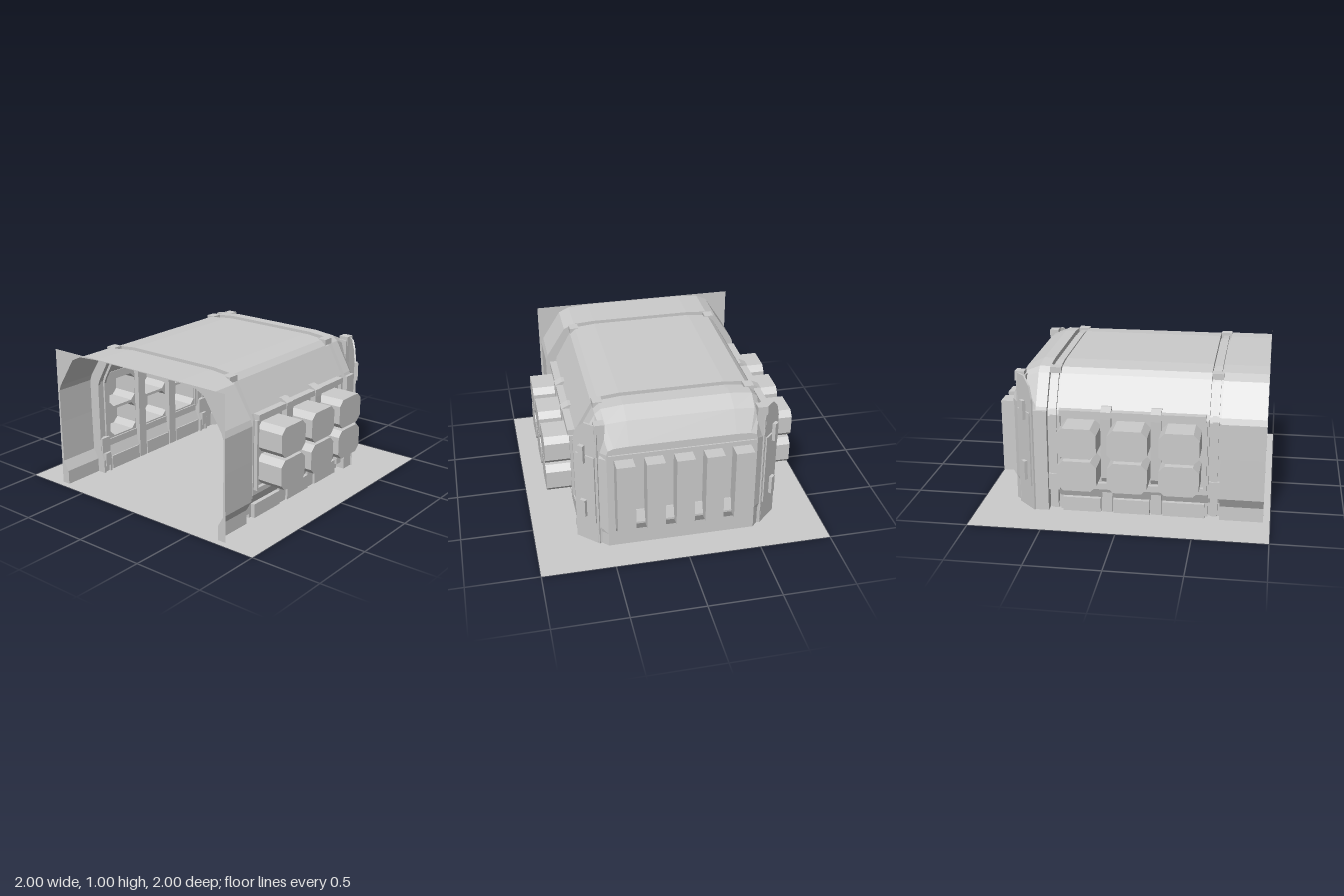
import * as THREE from 'three';

const material = new THREE.MeshStandardMaterial({ color: 0xcccccc, flatShading: true, side: THREE.DoubleSide });

function add(parent, name, geometry, x = 0, y = 0, z = 0) {
  const mesh = new THREE.Mesh(geometry, material);
  mesh.name = name;
  mesh.position.set(x, y, z);
  parent.add(mesh);
  return mesh;
}

// Box given by its lower and upper limits
function block(parent, name, [x0, x1], [y0, y1], [z0, z1]) {
  return add(parent, name, new THREE.BoxGeometry(x1 - x0, y1 - y0, z1 - z0),
    (x0 + x1) / 2, (y0 + y1) / 2, (z0 + z1) / 2);
}

// Skin through a row of sections with equal point counts
function loft(sections, closed = false) {
  const n = sections[0].length;
  const index = [];
  for (let i = 0; i < sections.length - 1; i++) {
    for (let j = 0; j < (closed ? n : n - 1); j++) {
      const a = i * n + j, b = i * n + (j + 1) % n;
      index.push(a, b, a + n, b, b + n, a + n);
    }
  }
  const g = new THREE.BufferGeometry();
  g.setAttribute('position', new THREE.Float32BufferAttribute(sections.flat(2), 3));
  g.setIndex(index);
  const flat = g.toNonIndexed();
  flat.computeVertexNormals();
  return flat;
}

// Half profiles as [z, y], from the roof down to the ground
const mouth = [[0.36, 0.995], [0.51, 0.985], [0.585, 0.95], [0.72, 0.74], [0.735, 0.70], [0.735, 0.46], [0.73, 0.17], [0.69, 0.1], [0.69, 0]];
const hall = [[0.36, 0.995], [0.51, 0.98], [0.55, 0.945], [0.665, 0.74], [0.68, 0.70], [0.68, 0.46], [0.68, 0.17], [0.65, 0.1], [0.65, 0]];
const shoulder = [[0.36, 0.94], [0.50, 0.93], [0.53, 0.90], [0.58, 0.74], [0.60, 0.70], [0.60, 0.46], [0.60, 0.17], [0.58, 0.1], [0.58, 0]];
const endWall = [[0.36, 0.79], [0.46, 0.785], [0.50, 0.77], [0.51, 0.74], [0.51, 0.70], [0.51, 0.46], [0.51, 0.17], [0.51, 0.1], [0.51, 0]];

const mirrored = (half) => [...half].reverse().concat(half.map(([z, y]) => [-z, y]));
const arch = (half, x, s = 1) => mirrored(half).map(([z, y]) => [x, y * s, z * s]);

// Shape in the (z, y) plane, turned to face along x
function crossShape(points) {
  const g = new THREE.ShapeGeometry(new THREE.Shape(points.map(([z, y]) => new THREE.Vector2(-z, y))));
  return g.rotateY(Math.PI / 2);
}

// Rectangle with cut corners
function octagon(cx, cy, w, h, c) {
  const a = w / 2, b = h / 2;
  return [[-a + c, -b], [a - c, -b], [a, -b + c], [a, b - c], [a - c, b], [-a + c, b], [-a, b - c], [-a, -b + c]]
    .map(([x, y]) => [cx + x, cy + y]);
}
const toShape = (pts) => new THREE.Shape(pts.map(([x, y]) => new THREE.Vector2(x, y)));

function buildSide() {
  const side = new THREE.Group();
  side.name = 'side';

  // Wall panel with pockets that open into the projecting boxes
  const wall = toShape([[-0.58, 0.17], [0.43, 0.17], [0.43, 0.70], [-0.58, 0.70]]);
  for (const cx of [-0.4, -0.06, 0.275]) {
    for (const cy of [0.34, 0.568]) {
      const ring = octagon(cx, cy, 0.265, 0.208, 0.04);
      wall.holes.push(new THREE.Path(ring.map(([x, y]) => new THREE.Vector2(x, y))));
      add(side, 'storageBox', loft([0.68, 0.875].map((z) => ring.map(([x, y]) => [x, y, z])), true));
      add(side, 'storageBoxFace', new THREE.ShapeGeometry(toShape(ring)), 0, 0, 0.875);
    }
  }
  add(side, 'wallPanel', new THREE.ShapeGeometry(wall), 0, 0, 0.68);
  add(side, 'wallFoot', loft([-0.58, 0.43].map((x) => hall.slice(6).map(([z, y]) => [x, y, z]))));

  // Frame around the boxes
  block(side, 'upperRail', [-0.56, 0.42], [0.70, 0.74], [0.66, 0.715]);
  block(side, 'lowerRail', [-0.56, 0.42], [0.205, 0.225], [0.67, 0.705]);
  for (const x of [-0.57, 0.415]) block(side, 'framePost', [x, x + 0.02], [0.21, 0.70], [0.67, 0.705]);

  // Straps between the boxes, and blocks along the foot
  for (const x of [-0.265, 0.07]) {
    const strap = toShape([[0.64, 0], [0.67, 0], [0.67, 0.215], [0.70, 0.265], [0.72, 0.69], [0.72, 0.74], [0.67, 0.765], [0.64, 0.765]]);
    const g = new THREE.ExtrudeGeometry(strap, { depth: 0.07, bevelEnabled: false });
    add(side, 'strap', g.rotateY(-Math.PI / 2), x + 0.07);
  }
  for (const [a, b] of [[-0.56, -0.275], [-0.185, 0.06], [0.15, 0.41]]) {
    block(side, 'footBlock', [a, b], [0, 0.1], [0.64, 0.68]);
  }

  // Fittings on the two hoops
  for (const x of [-0.62, 0.47]) {
    block(side, 'hoopFoot', [x - 0.025, x + 0.025], [0.05, 0.15], [0.62, 0.675]);
    block(side, 'hoopShoe', [x - 0.038, x + 0.038], [0.15, 0.265], [0.64, 0.68]);
    block(side, 'hoopClip', [x - 0.038, x + 0.038], [0.945, 0.985], [0.485, 0.55]);
  }

  // Slanted shield over the corner, with its raised plate and clips
  const corner = new THREE.Group();
  corner.name = 'cornerShield';
  corner.position.set(0.60, 0, 0.695);
  corner.rotation.y = 0.8;
  const shield = toShape([[0, 0], [0.19, 0], [0.19, 0.945], [0.09, 0.945], [0.03, 0.89], [0, 0.80]]);
  add(corner, 'shield', new THREE.ExtrudeGeometry(shield, { depth: 0.012, bevelEnabled: false }));
  block(corner, 'shieldPlate', [0.02, 0.17], [0.17, 0.70], [0.01, 0.022]);
  for (const y of [0.21, 0.645]) block(corner, 'shieldClip', [0.06, 0.1], [y, y + 0.135], [0.02, 0.045]);
  side.add(corner);
  block(side, 'cornerFlange', [0.51, 0.60], [0, 0.72], [0.65, 0.695]);
  block(side, 'cornerPost', [0.67, 0.735], [0, 0.93], [0.515, 0.575]);
  block(side, 'cornerPostClip', [0.68, 0.745], [0.89, 0.955], [0.51, 0.58]);
  return side;
}

export function createModel() {
  const model = new THREE.Group();
  model.name = 'vaultedModule';

  add(model, 'groundPlate', new THREE.PlaneGeometry(2, 2).rotateX(-Math.PI / 2));

  // Open end with its flat surround
  add(model, 'entrance', loft([arch(mouth, -0.955), arch(mouth, -0.66), arch(hall, -0.66)]));
  const surround = [[0.75, 0], [0.75, 1], [-0.75, 1], [-0.75, 0], ...mirrored(mouth).reverse()];
  add(model, 'entranceSurround', crossShape(surround), -0.955);

  // Vaulted roof of the middle part
  const vault = hall.slice(0, 5);
  add(model, 'roof', loft([arch(vault, -0.58), arch(vault, 0.43)]));

  // Recessed hoops with a raised centre band
  for (const x of [-0.62, 0.47]) {
    const steps = [[-0.04, 1], [-0.04, 0.965], [-0.022, 0.965], [-0.022, 0.985], [0.022, 0.985], [0.022, 0.965], [0.04, 0.965], [0.04, 1]];
    add(model, 'hoop', loft(steps.map(([dx, s]) => arch(hall, x + dx, s))));
  }

  // Tapered closed end
  add(model, 'endCap', loft([arch(hall, 0.51), arch(hall, 0.585), arch(shoulder, 0.70), arch(endWall, 0.775)]));
  add(model, 'endWall', crossShape(mirrored(endWall)), 0.775);

  // Sloping sill and five upright ribs
  const sill = toShape([[0.765, 0.1], [0.81, 0.185], [0.81, 0.2], [0.785, 0.28], [0.765, 0.28]]);
  add(model, 'endSill', new THREE.ExtrudeGeometry(sill, { depth: 0.92, bevelEnabled: false }), 0, 0, -0.46);
  block(model, 'endLintel', [0.765, 0.785], [0.70, 0.735], [-0.5, 0.5]);
  for (let i = -2; i <= 2; i++) {
    block(model, 'endRib', [0.77, 0.88], [0.185, 0.70], [i * 0.2 - 0.0625, i * 0.2 + 0.0625]);
  }

  // Matching sides
  const front = buildSide();
  const back = buildSide();
  back.scale.z = -1;
  model.add(front, back);
  return model;
}
